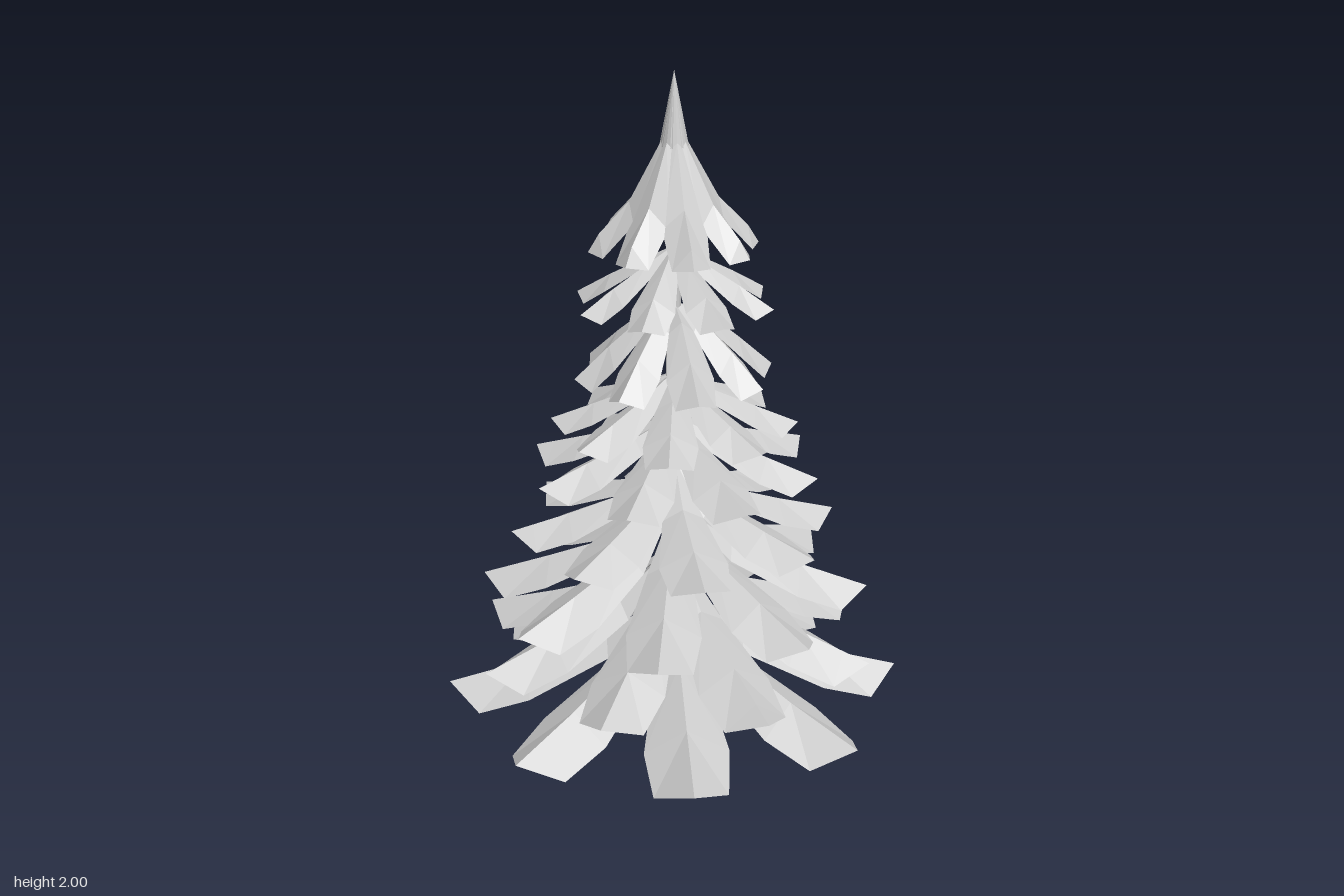
import * as THREE from 'three';

const material = new THREE.MeshStandardMaterial({
  color: 0xcccccc, flatShading: true, side: THREE.DoubleSide,
});

// Each tier: tip radius, root height, tip height, two ridge points as
// [fraction of length, fraction of rise], half width, edge drop, turn in degrees
const TIERS = [
  { r: 0.66, root: 0.50, tip: 0.22, a: [0.3, 0.50], b: [0.65, 0.22], w: 0.118, drop: 0.075, turn: -1 },
  { r: 0.585, root: 0.64, tip: 0.36, a: [0.3, 0.52], b: [0.65, 0.24], w: 0.108, drop: 0.065, turn: 20 },
  { r: 0.555, root: 0.77, tip: 0.53, a: [0.3, 0.54], b: [0.65, 0.26], w: 0.103, drop: 0.062, turn: -10 },
  { r: 0.465, root: 0.91, tip: 0.72, a: [0.3, 0.48], b: [0.65, 0.22], w: 0.095, drop: 0.05, turn: 4.5 },
  { r: 0.415, root: 1.04, tip: 0.90, a: [0.3, 0.65], b: [0.65, 0.32], w: 0.085, drop: 0.05, turn: 22 },
  { r: 0.345, root: 1.17, tip: 1.025, a: [0.3, 0.65], b: [0.65, 0.32], w: 0.075, drop: 0.042, turn: -8 },
  { r: 0.28, root: 1.37, tip: 1.17, a: [0.3, 0.84], b: [0.65, 0.44], w: 0.065, drop: 0.055, turn: 8 },
  { r: 0.28, root: 1.53, tip: 1.375, a: [0.3, 0.72], b: [0.65, 0.38], w: 0.06, drop: 0.04, turn: 22 },
  { r: 0.235, root: 2.0, tip: 1.525, a: [0.15, 0.61], b: [0.52, 0.28], w: 0.06, drop: 0.055, turn: 7 },
];

// A branch is a folded leaf: a drooping ridge with a lower edge on each side
function branchGeometry({ r, root, tip, a, b, w, drop }) {
  const h = root - tip;
  // Ridge radius, ridge height, half width, edge drop
  const stations = [
    [0, root, 0, 0],
    [a[0] * r, tip + a[1] * h, 2.05 * a[0] * w, 2 * a[0] * drop],
    [b[0] * r, tip + b[1] * h, w, 0.9 * drop],
    [0.87 * r, tip + 0.37 * b[1] * h, 0.86 * w, drop],
  ];
  const pos = [];
  const ridge = stations.map(([x, y]) => [x, y, 0]);
  const end = [r, tip, 0];
  for (const s of [1, -1]) {
    const edge = stations.map(([x, y, hw, d]) => [x, y - d, s * hw]);
    const tri = (p, q, t) => pos.push(...(s > 0 ? [p, q, t] : [p, t, q]).flat());
    tri(ridge[0], edge[1], ridge[1]);
    for (let i = 1; i < 3; i++) {
      tri(ridge[i], edge[i], edge[i + 1]);
      tri(ridge[i], edge[i + 1], ridge[i + 1]);
    }
    tri(ridge[3], edge[3], end);
  }
  const geo = new THREE.BufferGeometry();
  geo.setAttribute('position', new THREE.Float32BufferAttribute(pos, 3));
  geo.computeVertexNormals();
  return geo;
}

export function createModel() {
  const model = new THREE.Group();
  model.name = 'firTree';

  // Tapered trunk
  const trunk = new THREE.Mesh(new THREE.CylinderGeometry(0.012, 0.043, 1.8, 8), material);
  trunk.name = 'trunk';
  trunk.position.y = 0.9;
  model.add(trunk);

  // Eight branches around each tier; the top tier closes into the pointed crown
  TIERS.forEach((spec, n) => {
    const tier = new THREE.Group();
    tier.name = `branchTier${n + 1}`;
    const geo = branchGeometry(spec);
    for (let i = 0; i < 8; i++) {
      const branch = new THREE.Mesh(geo, material);
      branch.name = 'branch';
      branch.rotation.y = THREE.MathUtils.degToRad(spec.turn + i * 45);
      tier.add(branch);
    }
    model.add(tier);
  });
  return model;
}
